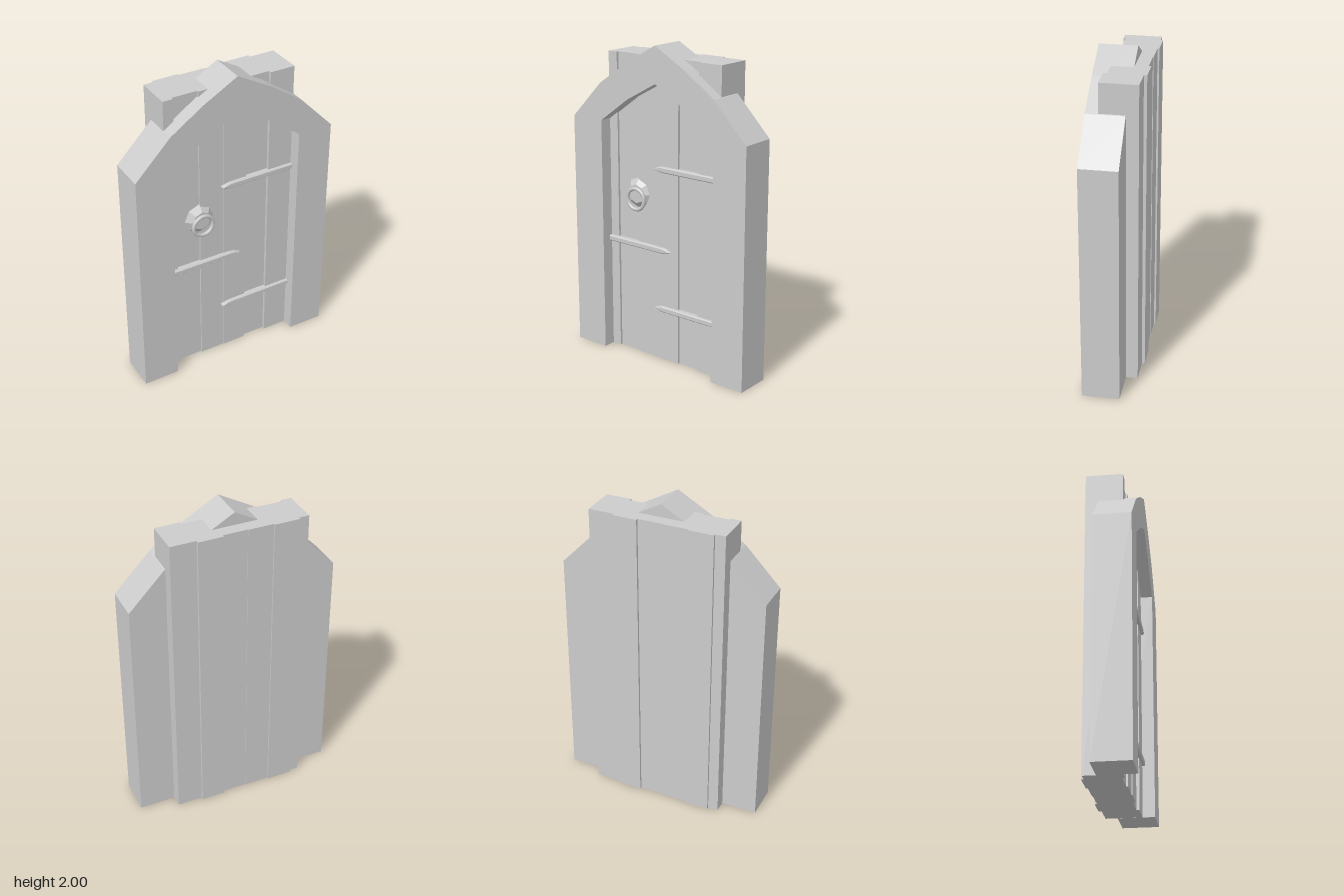
import * as THREE from 'three';

const material = new THREE.MeshStandardMaterial({ color: 0xcccccc, flatShading: true });
const smooth = new THREE.MeshStandardMaterial({ color: 0xcccccc });

function add(parent, name, geometry, mat = material) {
  const mesh = new THREE.Mesh(geometry, mat);
  mesh.name = name;
  parent.add(mesh);
  return mesh;
}

function extrude(points, depth, options = {}) {
  const shape = new THREE.Shape(points.map(([x, y]) => new THREE.Vector2(x, y)));
  return new THREE.ExtrudeGeometry(shape, { depth, bevelEnabled: false, ...options });
}

export function createModel() {
  const model = new THREE.Group();
  model.name = 'archedDoor';

  // Door planks: left edge, right edge, back z, front z
  const planks = new THREE.Group();
  planks.name = 'planks';
  model.add(planks);
  [
    [-0.43, -0.365, -0.148, 0.08],
    [-0.365, -0.205, -0.163, 0.065],
    [-0.205, -0.045, -0.152, 0.076],
    [-0.045, 0.11, -0.148, 0.08],
    [0.11, 0.265, -0.163, 0.065],
    [0.265, 0.425, -0.144, 0.084],
  ].forEach(([x0, x1, z0, z1], i) => {
    const plank = add(planks, `plank${i + 1}`, new THREE.BoxGeometry(x1 - x0, 1.92, z1 - z0));
    plank.position.set((x0 + x1) / 2, 0.96, (z0 + z1) / 2);
  });

  // Stone surround: two posts and a pointed arch
  const back = -0.07, depth = 0.23;
  for (const side of [-1, 1]) {
    const post = add(model, side > 0 ? 'leftPost' : 'rightPost', new THREE.BoxGeometry(0.228, 1.503, depth));
    post.position.set(side * 0.541, 0.7515, back + depth / 2);
  }
  const outer = [[0.655, 1.503], [0.43, 1.735], [0.22, 1.877]];
  const inner = [[0.427, 1.503], [0.215, 1.657]];
  const mirror = ([x, y]) => [-x, y];
  const arch = add(model, 'arch', extrude([
    ...outer, [0, 2], ...outer.map(mirror).reverse(),
    ...inner.map(mirror), [0, 1.775], ...[...inner].reverse(),
  ], depth));
  arch.position.z = back;

  // Strap hinges with pointed tips
  const strap = [[0, -0.012], [0.43, -0.012], [0.455, -0.008], [0.482, 0], [0.455, 0.008], [0.43, 0.012], [0, 0.012]];
  [[0.427, 1.245, -1], [-0.43, 0.73, 1], [0.427, 0.345, -1]].forEach(([x, y, dir], i) => {
    const hinge = add(model, `hinge${i + 1}`, extrude(strap, 0.03, {
      bevelEnabled: true, bevelSize: 0.006, bevelThickness: 0.006, bevelSegments: 1,
    }));
    hinge.position.set(x, y, 0.066);
    // Half turn about z points the strap inward
    if (dir < 0) hinge.rotation.z = Math.PI;
  });

  // Handle: faceted back plate and hanging ring
  const handle = new THREE.Group();
  handle.name = 'handle';
  handle.position.set(-0.203, 1.06, 0.066);
  model.add(handle);
  const plate = add(handle, 'handlePlate', new THREE.CylinderGeometry(0.06, 0.1, 0.035, 8));
  plate.rotation.x = Math.PI / 2;
  plate.position.z = 0.0175;
  const ring = add(handle, 'handleRing', new THREE.TorusGeometry(0.066, 0.012, 8, 32), smooth);
  ring.position.set(0.003, -0.032, 0.042);

  return model;
}
